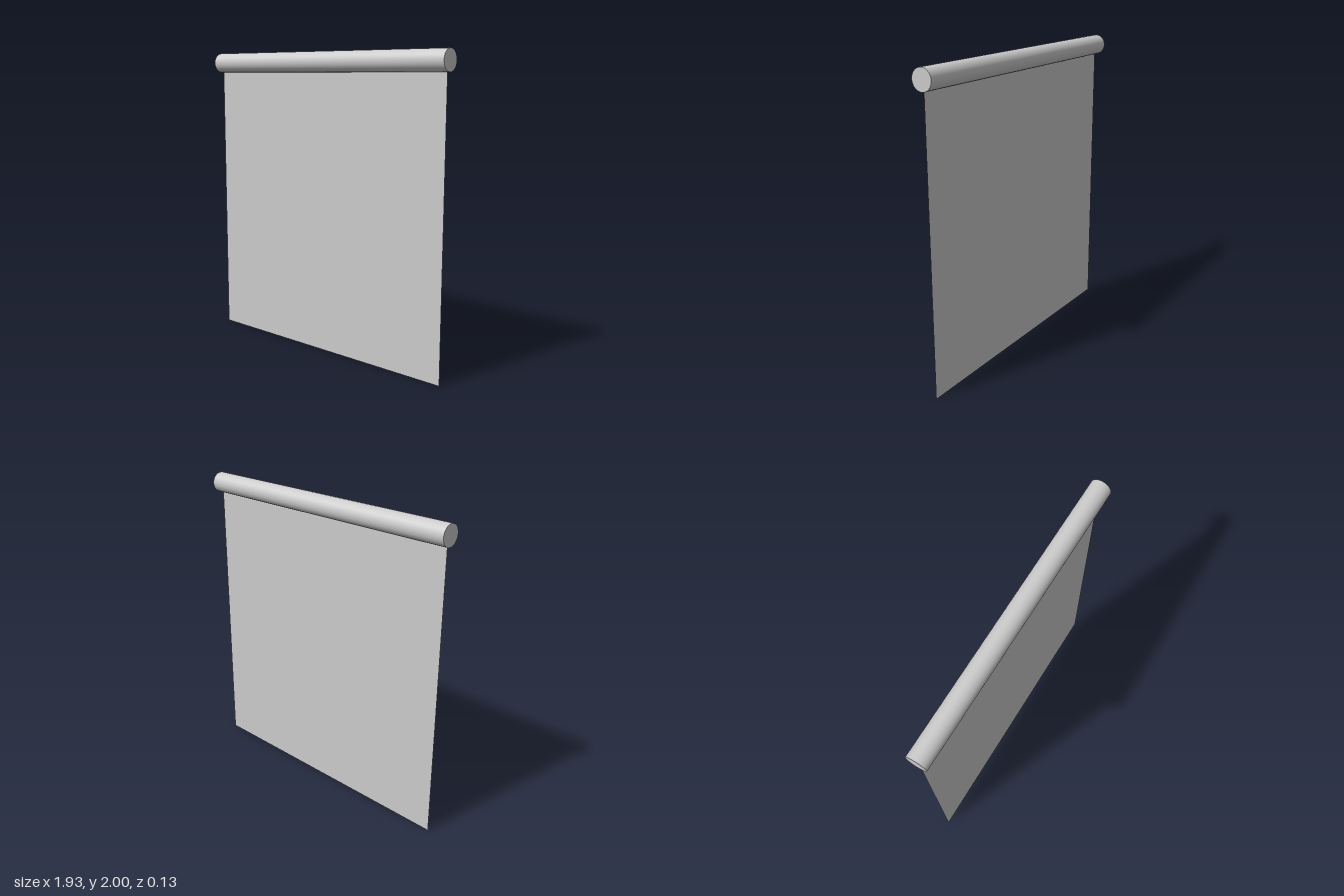
import * as THREE from 'three';

export function createModel() {
  const model = new THREE.Group();
  model.name = 'rollerBlind';
  const radius = 0.067;
  const axisY = 2 - radius;

  // Horizontal roller tube with closed ends
  const roller = new THREE.Mesh(
    new THREE.CylinderGeometry(radius, radius, 1.935, 48),
    new THREE.MeshStandardMaterial({ color: 0xcccccc })
  );
  roller.name = 'roller';
  roller.rotation.z = Math.PI / 2;
  roller.position.y = axisY;
  model.add(roller);

  // Thin sheet hanging from the roller's axis to the ground
  const sheet = new THREE.Mesh(
    new THREE.PlaneGeometry(1.9, axisY),
    new THREE.MeshStandardMaterial({ color: 0xcccccc, side: THREE.DoubleSide })
  );
  sheet.name = 'sheet';
  sheet.position.y = axisY / 2;
  model.add(sheet);

  return model;
}
